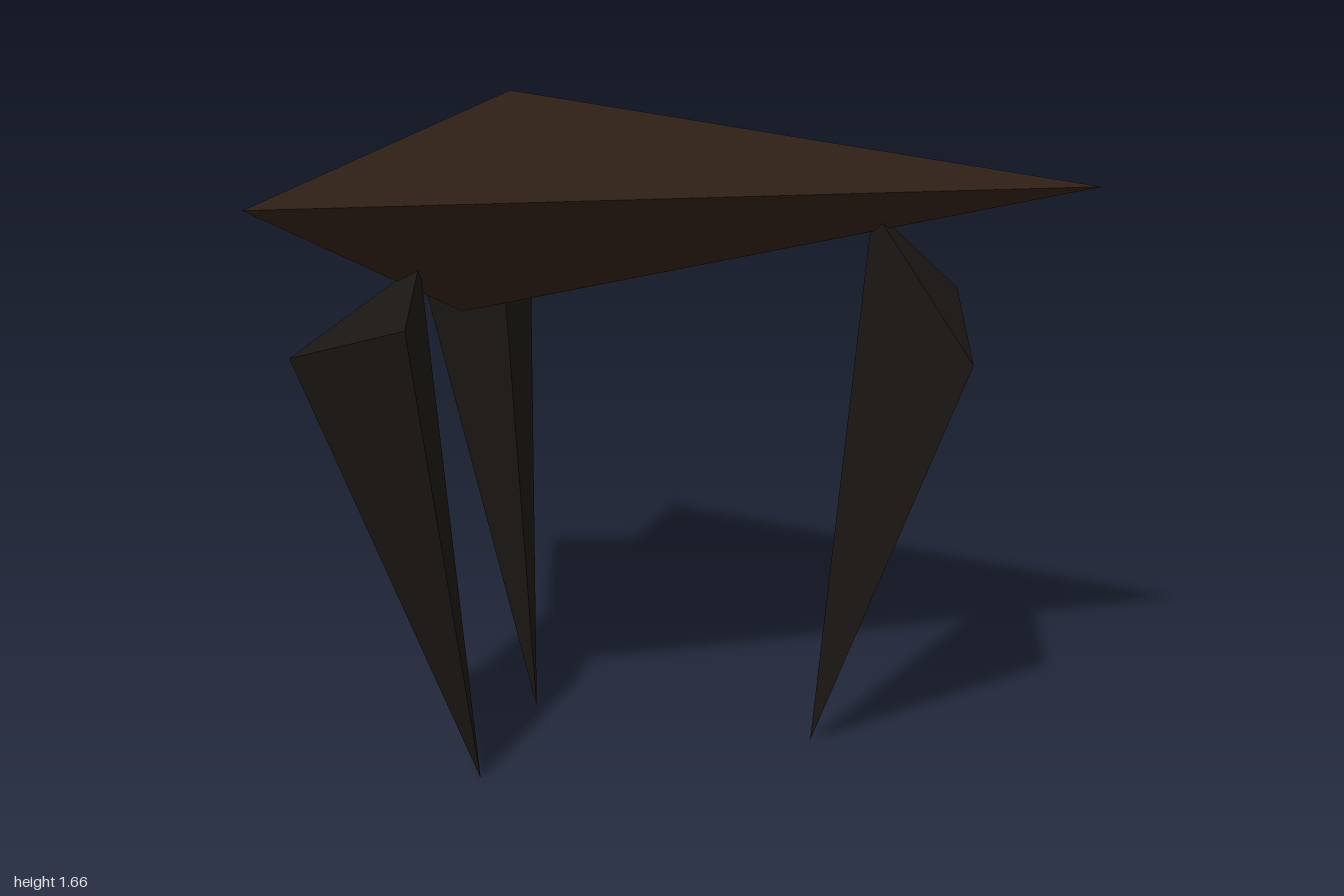
import * as THREE from 'three';
import { ConvexGeometry } from 'three/addons/geometries/ConvexGeometry.js';

const topMaterial = new THREE.MeshStandardMaterial({ color: 0x2e1f15, flatShading: true });
const legMaterial = new THREE.MeshStandardMaterial({ color: 0x1a1612, flatShading: true });

// A faceted solid spanned by its corner points
function shard(name, corners, material) {
  const points = corners.map((c) => new THREE.Vector3(...c));
  const mesh = new THREE.Mesh(new ConvexGeometry(points), material);
  mesh.name = name;
  return mesh;
}

export function createModel() {
  const table = new THREE.Group();
  table.name = 'table';

  // Tabletop: a tilted triangle with a shallow keel below
  table.add(shard('tabletop', [
    [-0.80, 1.66, -0.57], [0.94, 1.56, -1.0], [-0.17, 1.65, 1.0], [-0.13, 1.28, 0.30],
  ], topMaterial));

  // Legs: foot point, hip buried in the tabletop, and two outer knee corners
  const legs = {
    frontLeg: [[-0.08, 0, 0.30], [-0.11, 1.44, 0.47], [-0.33, 1.20, 0.72], [0.02, 1.32, 0.65]],
    rightLeg: [[-0.335, 0, -0.185], [-0.515, 1.56, -0.215], [-0.94, 1.33, -0.28], [-0.74, 1.25, -0.59]],
    leftLeg: [[0.395, 0, -0.515], [0.55, 1.52, -0.53], [0.87, 1.15, -0.555], [0.61, 1.265, -0.83]],
  };
  for (const [name, corners] of Object.entries(legs)) table.add(shard(name, corners, legMaterial));

  return table;
}
